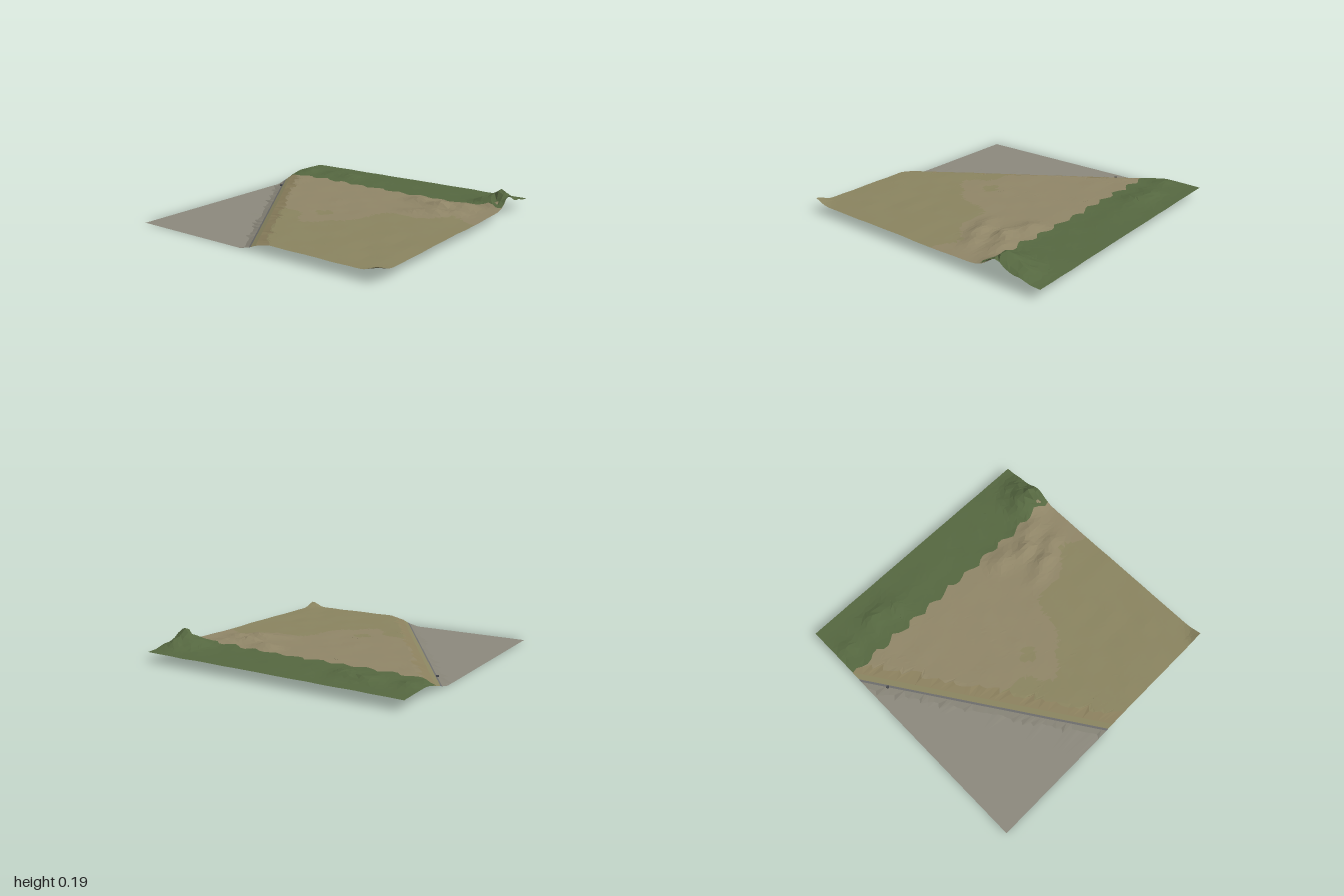
import * as THREE from 'three';

// Repeatable value noise
const hash = (a, b = 0) => {
  const s = Math.sin(a * 127.1 + b * 311.7) * 43758.5453;
  return s - Math.floor(s);
};
const mix = THREE.MathUtils.lerp;
const noise = (x, z) => {
  const i = Math.floor(x), j = Math.floor(z);
  const u = x - i, v = z - j;
  return mix(mix(hash(i, j), hash(i + 1, j), u), mix(hash(i, j + 1), hash(i + 1, j + 1), u), v) - 0.5;
};

// Signed distance from the diagonal kerb (positive on the field side) and its inverse
const kerbDistance = (x, z) => 0.832 * (x + 1) - 0.555 * (z + 0.5);
const xAt = (d, z) => THREE.MathUtils.clamp(-1 + (d + 0.555 * (z + 0.5)) / 0.832, -1, 1);

// Embankment section: distance, height
const bank = [[-0.04, 0], [0, 0.017], [0.014, 0.024], [0.05, 0.042], [0.11, 0.065]];

// Mounds: x, z, height, x radius, z radius
const mounds = [
  [0.90, -0.72, 0.09, 0.13, 0.13], [1.0, -0.7, 0.03, 0.10, 0.13],
  [-0.90, -0.76, 0.022, 0.07, 0.09], [-0.64, -0.77, 0.027, 0.11, 0.10],
  [-0.47, -0.76, 0.028, 0.09, 0.10], [-0.20, -0.78, 0.008, 0.15, 0.10],
  [0.40, -0.46, 0.042, 0.09, 0.07], [0.57, -0.40, 0.042, 0.09, 0.06],
  [0.72, -0.48, 0.040, 0.10, 0.07], [0.62, -0.23, 0.040, 0.11, 0.055],
  [0.78, -0.30, 0.022, 0.08, 0.06], [0.50, -0.17, 0.018, 0.09, 0.05],
  [1.02, 1.02, 0.052, 0.08, 0.08],
];

function height(x, z) {
  const d = kerbDistance(x, z);
  if (d <= bank[0][0]) return 0;
  let y = 0.067;
  for (let i = 1; i < bank.length; i++) {
    const [d0, y0] = bank[i - 1], [d1, y1] = bank[i];
    if (d >= d0 && d < d1) y = mix(y0, y1, (d - d0) / (d1 - d0));
  }
  const fade = THREE.MathUtils.smoothstep(d, 0.08, 0.2);
  y += fade * 0.006 * noise(x * 9, z * 9);
  for (const [mx, mz, h, rx, rz] of mounds) {
    const bump = h * Math.exp(-(((x - mx) / rx) ** 2) - ((z - mz) / rz) ** 2);
    y += bump * (1 + 0.9 * noise(x * 13 + 5, z * 16)) * Math.max(fade, 0.4);
  }
  return y;
}

// Faceted patch over a grid of (u, v); place(u, v) gives [x, z, lift]
function patch(name, color, cols, rows, place, { jitter = 0, keep = () => true } = {}) {
  const position = [], index = [];
  for (let j = 0; j <= rows; j++) {
    for (let i = 0; i <= cols; i++) {
      let [x, z, lift = 0] = place(i / cols, j / rows);
      if (i > 0 && i < cols && j > 0 && j < rows) {
        x += jitter * (hash(i, j) - 0.5);
        z += jitter * (hash(j, i + 50) - 0.5);
      }
      position.push(x, height(x, z) + lift, z);
    }
  }
  const addFace = (...face) => {
    const at = (k) => face.reduce((sum, n) => sum + position[n * 3 + k], 0) / 3;
    if (keep(at(0), at(2))) index.push(...face);
  };
  for (let j = 0; j < rows; j++) {
    for (let i = 0; i < cols; i++) {
      const a = j * (cols + 1) + i, b = a + 1, c = a + cols + 1, d = c + 1;
      if (hash(i + 7, j) > 0.5) {
        addFace(a, c, b);
        addFace(b, c, d);
      } else {
        addFace(a, c, d);
        addFace(a, d, b);
      }
    }
  }
  const geometry = new THREE.BufferGeometry();
  geometry.setAttribute('position', new THREE.Float32BufferAttribute(position, 3));
  geometry.setIndex(index);
  geometry.computeVertexNormals();
  const mesh = new THREE.Mesh(geometry, new THREE.MeshStandardMaterial({
    color, flatShading: true, side: THREE.DoubleSide,
  }));
  mesh.name = name;
  return mesh;
}

export function createModel() {
  const group = new THREE.Group();
  group.name = 'terrain';
  const zTop = -0.62, rows = 54;

  // Strip running along the kerb between two distances
  const strip = (name, color, d0, d1, cols = 1, z0 = zTop, n = rows) =>
    patch(name, color, cols, n, (u, v) => {
      const z = mix(z0, 1, v);
      return [mix(xAt(d0(z), z), xAt(d1(z), z), u), z];
    });
  const at = (d) => () => d;
  const ragged = (z) => -0.035 - 0.055 * hash(Math.round(z * 100)) ** 2;
  const crest = (z) => 0.1 + 0.05 * hash(Math.round(z * 100), 3) ** 2;

  // Paved low ground, gravel shoulder, kerb and embankment
  group.add(
    strip('pavedGround', 0x8b887c, at(-9), ragged, 4, -0.5, 50),
    strip('gravelShoulder', 0x858276, ragged, at(0), 1, -0.5, 50),
    strip('kerb', 0x6c6c6a, at(0), at(0.014)),
    strip('lowerBank', 0x88835f, at(0.014), at(0.05)),
    strip('upperBank', 0x8a7f5d, at(0.05), crest),
  );

  // Field, in a dry and a grassy tone
  const field = (u, v) => {
    const z = mix(zTop, 1, v);
    return [mix(xAt(crest(z), z), 1, u), z];
  };
  const isDry = (x, z) => 0.5 * x + z + 0.9 * noise(x * 5, z * 5) < 0.3;
  group.add(
    patch('dryField', 0x8f8567, 44, rows, field, { jitter: 0.018, keep: isDry }),
    patch('grassyField', 0x89835f, 44, rows, field, { jitter: 0.018, keep: (x, z) => !isDry(x, z) }),
  );

  // Meadow with a scalloped front edge lying over the field
  group.add(patch('meadow', 0x556740, 50, 12, (u, v) => {
    const x = mix(-1, 1, u);
    const scallop = -0.567 + 0.022 * Math.sin(x * 34) + 0.02 * (hash(Math.round(u * 50), 9) - 0.5);
    return [x, mix(-1, scallop, v), 0.004 * v];
  }, { jitter: 0.025 }));

  // Small drain on the kerb
  const drain = new THREE.Mesh(
    new THREE.BoxGeometry(0.018, 0.01, 0.018),
    new THREE.MeshStandardMaterial({ color: 0x44464a }),
  );
  drain.name = 'drain';
  drain.position.set(-0.89, 0.024, -0.335);
  drain.rotation.y = 0.59;
  group.add(drain);

  return group;
}
